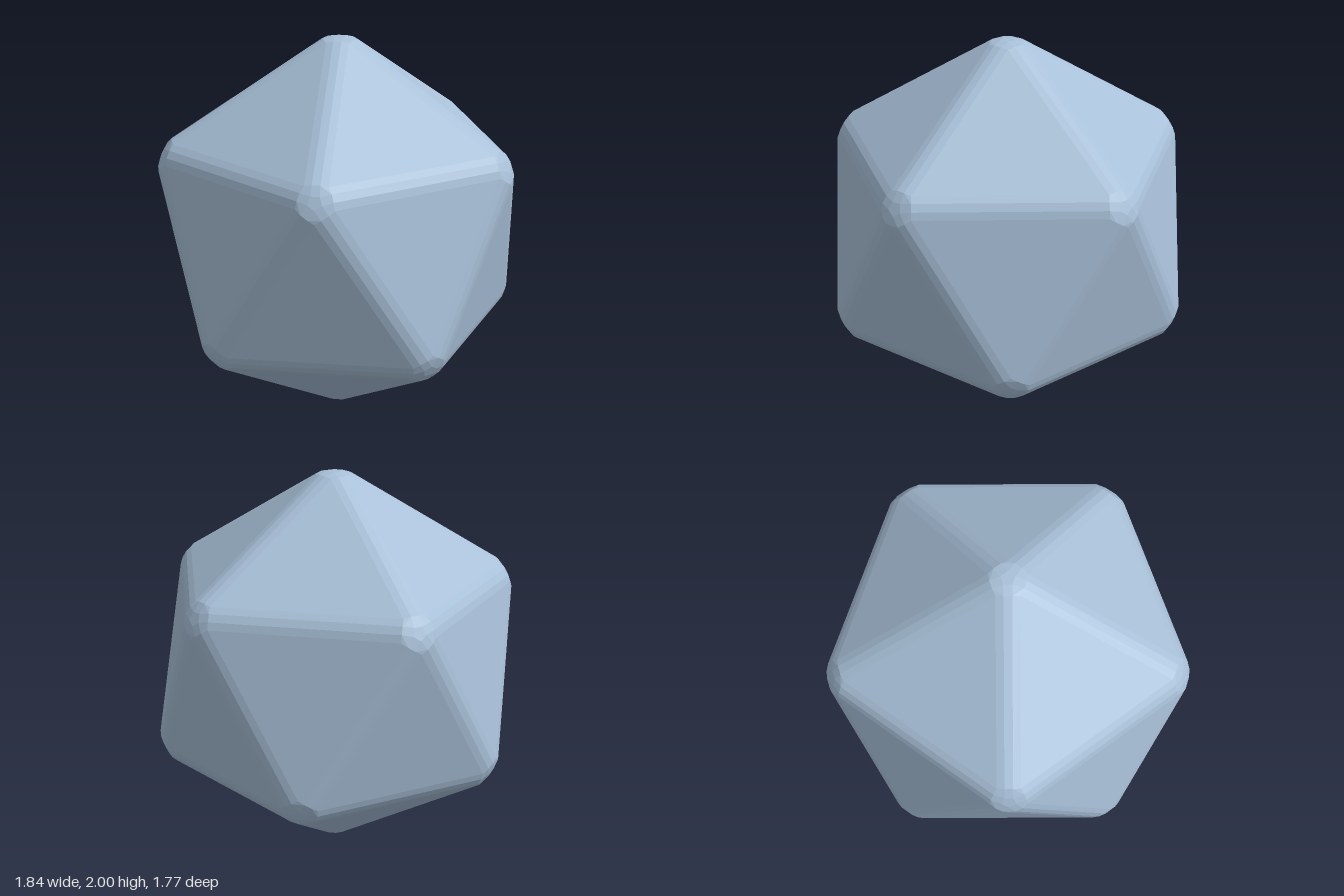
import * as THREE from 'three';
import { ConvexGeometry } from 'three/addons/geometries/ConvexGeometry.js';

const CORE = 0.857;  // circumradius of the solid the rounding is swept around
const ROUND = 0.157; // rounding radius of edges
const TIP = 0.036;   // radius of the small flat pentagon on each corner

// Poles, upper ring of five, and their opposites
function icosahedronCorners() {
  const corners = [new THREE.Vector3(0, 1, 0)];
  for (let i = 0; i < 5; i++) {
    const a = (i * Math.PI * 2) / 5;
    corners.push(new THREE.Vector3(2 * Math.cos(a), 1, 2 * Math.sin(a)).normalize());
  }
  return corners.concat(corners.map((v) => v.clone().negate()));
}

// Normals of the 20 faces: every three mutually adjacent corners
function faceNormals(corners) {
  const near = (a, b) => a.dot(b) > 0.4;
  const normals = [];
  for (let i = 0; i < 12; i++)
    for (let j = i + 1; j < 12; j++)
      for (let k = j + 1; k < 12; k++) {
        const [a, b, c] = [corners[i], corners[j], corners[k]];
        if (near(a, b) && near(b, c) && near(a, c))
          normals.push(a.clone().add(b).add(c).normalize());
      }
  return normals;
}

export function createModel() {
  const corners = icosahedronCorners();
  const normals = faceNormals(corners);
  const points = [];

  for (const v of corners) {
    const around = normals.filter((n) => n.dot(v) > 0.7);
    const offset = (n) => points.push(v.clone().multiplyScalar(CORE).addScaledVector(n, ROUND));
    for (const n of around) {
      // corner of the large flat face
      offset(n);
      // corner of the flat tip
      const out = n.clone().addScaledVector(v, -n.dot(v)).normalize();
      points.push(v.clone().addScaledVector(out, TIP));
      // intermediate steps of the three-segment edge bevel
      for (const m of around)
        if (m !== n && m.dot(n) > 0.7) offset(n.clone().lerp(m, 1 / 3).normalize());
    }
  }

  const geometry = new ConvexGeometry(points);
  geometry.translate(0, 1, 0);
  const material = new THREE.MeshStandardMaterial({ color: 0xa8c0d8, flatShading: true });
  const body = new THREE.Mesh(geometry, material);
  body.name = 'bevelledIcosahedron';

  const group = new THREE.Group();
  group.name = 'twentySidedSolid';
  group.add(body);
  return group;
}
